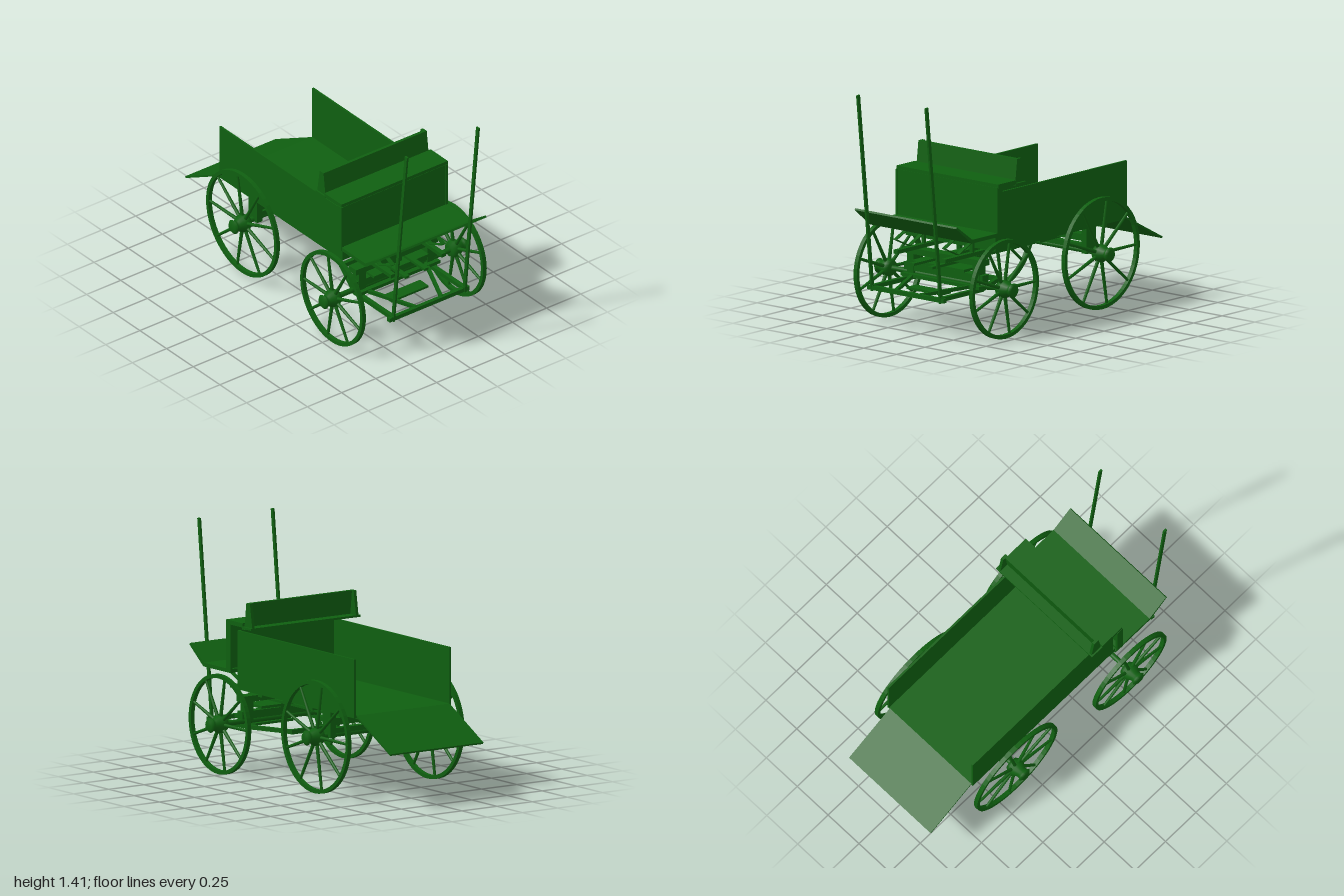
import * as THREE from 'three';

export function createModel() {
  const wagon = new THREE.Group();
  wagon.name = 'wagon';
  const green = new THREE.MeshStandardMaterial({ color: 0x0f5f10, side: THREE.DoubleSide });

  function add(name, geometry, parent = wagon) {
    const mesh = new THREE.Mesh(geometry, green);
    mesh.name = name;
    parent.add(mesh);
    return mesh;
  }
  // Box given by its limits on each axis
  function box(name, x0, x1, y0, y1, z0, z1, parent) {
    const m = add(name, new THREE.BoxGeometry(x1 - x0, y1 - y0, z1 - z0), parent);
    m.position.set((x0 + x1) / 2, (y0 + y1) / 2, (z0 + z1) / 2);
    return m;
  }
  // Side outline of [z, y] points, extruded from x0 to x1
  function profile(name, points, x0, x1) {
    const shape = new THREE.Shape(points.map(([z, y]) => new THREE.Vector2(-z, y)));
    const g = new THREE.ExtrudeGeometry(shape, { depth: x1 - x0, bevelEnabled: false });
    g.rotateY(Math.PI / 2).translate(x0, 0, 0);
    return add(name, g);
  }
  // Square bar between two points
  function bar(name, a, b, w, h = w) {
    const from = new THREE.Vector3(...a), to = new THREE.Vector3(...b);
    const m = add(name, new THREE.BoxGeometry(w, h, from.distanceTo(to)));
    m.position.copy(from).add(to).multiplyScalar(0.5);
    m.lookAt(to);
    return m;
  }

  // Cargo bed, open at the top and back
  for (const s of [-1, 1]) {
    box('bedSide', s * 0.339 - 0.006, s * 0.339 + 0.006, 0.5, 0.845, -0.665, 0.488);
  }
  box('bedFront', -0.335, 0.335, 0.5, 0.845, 0.476, 0.488);
  box('bedFloor', -0.335, 0.335, 0.5, 0.515, -0.665, 0.48);
  profile('tailgate', [[-0.665, 0.515], [-1, 0.337], [-0.996, 0.327], [-0.665, 0.503]], -0.333, 0.327);

  // Driver's box: riser, footboard, seat and backrest
  box('seatRiser', -0.375, 0.39, 0.6, 0.89, 0.515, 0.527);
  for (const x of [-0.375, 0.388]) box('riserPost', x - 0.008, x + 0.008, 0.6, 0.89, 0.485, 0.53);
  profile('footboard', [[0.49, 0.6], [0.755, 0.6], [0.892, 0.708], [0.885, 0.718], [0.75, 0.622], [0.49, 0.622]], -0.382, 0.395);
  box('seatBoard', -0.38, 0.398, 0.885, 0.91, 0.365, 0.525);
  box('seatRearBoard', -0.38, 0.398, 0.878, 0.89, 0.28, 0.37);
  profile('backrest', [[0.362, 0.885], [0.344, 1.03], [0.325, 1.03], [0.342, 0.885]], -0.37, 0.385);
  for (const x of [-0.37, 0.367]) {
    profile('backrestBracket', [[0.362, 0.885], [0.342, 1.03], [0.308, 1.03], [0.285, 0.885]], x, x + 0.018);
  }

  // Wheels with nine spokes and turned hubs
  function wheel(name, side, x, y, z, r) {
    const w = new THREE.Group();
    w.name = name;
    const ring = [[r - 0.022, -0.013], [r, -0.013], [r, 0.013], [r - 0.022, 0.013], [r - 0.022, -0.013]];
    const rim = add('rim', new THREE.LatheGeometry(ring.map(p => new THREE.Vector2(...p)), 48).toNonIndexed(), w);
    rim.geometry.computeVertexNormals();
    const hub = [[0, -0.035], [0.04, -0.035], [0.052, -0.015], [0.052, 0.015], [0.034, 0.045],
      [0.036, 0.06], [0.044, 0.07], [0.03, 0.083], [0, 0.083]];
    add('hub', new THREE.LatheGeometry(hub.map(p => new THREE.Vector2(...p)), 20), w);
    for (let i = 0; i < 9; i++) {
      const a = (i / 9) * Math.PI * 2;
      const spoke = new THREE.CylinderGeometry(0.008, 0.011, r - 0.05, 8);
      spoke.translate(0, r / 2 + 0.015, 0).rotateX(-Math.PI / 2).rotateY(a);
      add('spoke', spoke, w);
    }
    w.rotation.z = -side * Math.PI / 2;
    w.position.set(side * x, y, z);
    wagon.add(w);
  }
  function axle(name, y, z, half) {
    const m = add(name, new THREE.CylinderGeometry(0.016, 0.016, half * 2, 12));
    m.rotation.z = Math.PI / 2;
    m.position.set(0, y, z);
  }
  for (const s of [-1, 1]) {
    wheel('frontWheel', s, 0.442, 0.3, 0.525, 0.292);
    wheel('rearWheel', s, 0.402, 0.355, -0.37, 0.33);
  }
  axle('frontAxle', 0.3, 0.525, 0.43);
  axle('rearAxle', 0.355, -0.37, 0.39);

  // Undercarriage rails
  for (const s of [-1, 1]) {
    box('upperRail', s * 0.185 - 0.015, s * 0.185 + 0.015, 0.455, 0.478, -0.53, 0.76);
    box('lowerRail', s * 0.07 - 0.015, s * 0.07 + 0.015, 0.4, 0.415, -0.535, 0.745);
  }
  box('reach', -0.03, 0.03, 0.422, 0.445, -0.35, 0.5);

  // Bolsters and blocks that carry the bed
  box('frontAxleBeam', -0.3, 0.3, 0.315, 0.36, 0.5, 0.55);
  box('frontBolster', -0.3, 0.3, 0.415, 0.45, 0.49, 0.56);
  box('turntable', -0.2, 0.2, 0.375, 0.39, 0.45, 0.6);
  box('kingBolt', -0.035, 0.035, 0.36, 0.45, 0.49, 0.56);
  box('rearBolster', -0.32, 0.32, 0.415, 0.455, -0.4, -0.34);
  box('rearAxleBeam', -0.3, 0.3, 0.365, 0.395, -0.39, -0.35);
  for (const z of [-0.5, -0.2, 0.05, 0.3]) box('crossMember', -0.32, 0.32, 0.478, 0.5, z - 0.02, z + 0.02);
  for (const s of [-1, 1]) {
    box('frontBlock', s * 0.25 - 0.025, s * 0.25 + 0.025, 0.3, 0.42, 0.495, 0.555);
    box('rearBlock', s * 0.31 - 0.02, s * 0.31 + 0.02, 0.345, 0.5, -0.41, -0.33);
    box('footboardPost', s * 0.185 - 0.01, s * 0.185 + 0.01, 0.47, 0.6, 0.5, 0.52);
    // Thin leaf springs under the footboard
    const leaf = [[0.76, 0.54], [0.64, 0.592], [0.505, 0.545], [0.64, 0.485]];
    leaf.forEach((p, i) => {
      const q = leaf[(i + 1) % 4], x = s * 0.185;
      bar('leafSpring', [x, p[1], p[0]], [x, q[1], q[0]], 0.025, 0.005);
    });
  }

  // Drawbar frame and raised shafts
  for (const x of [-0.268, 0.254]) {
    bar('shaft', [x, 0.245, 0.865], [x, 1.42, 0.992], 0.012, 0.022);
    box('shaftArm', x - 0.013, x + 0.013, 0.255, 0.28, 0.5, 0.875);
    bar('rearArm', [x, 0.267, 0.51], [x * 0.55, 0.267, 0.225], 0.024);
    bar('hound', [x * 0.35, 0.267, 0.86], [x * 0.9, 0.29, 0.53], 0.02);
  }
  box('shaftCrossbar', -0.3, 0.285, 0.25, 0.275, 0.85, 0.875);
  box('rearCrossbar', -0.16, 0.15, 0.253, 0.28, 0.22, 0.245);
  box('stepPlank', -0.15, 0.12, 0.243, 0.256, 0.62, 0.7);
  box('splinterBar', -0.3, 0.3, 0.28, 0.3, 0.55, 0.58);

  return wagon;
}
